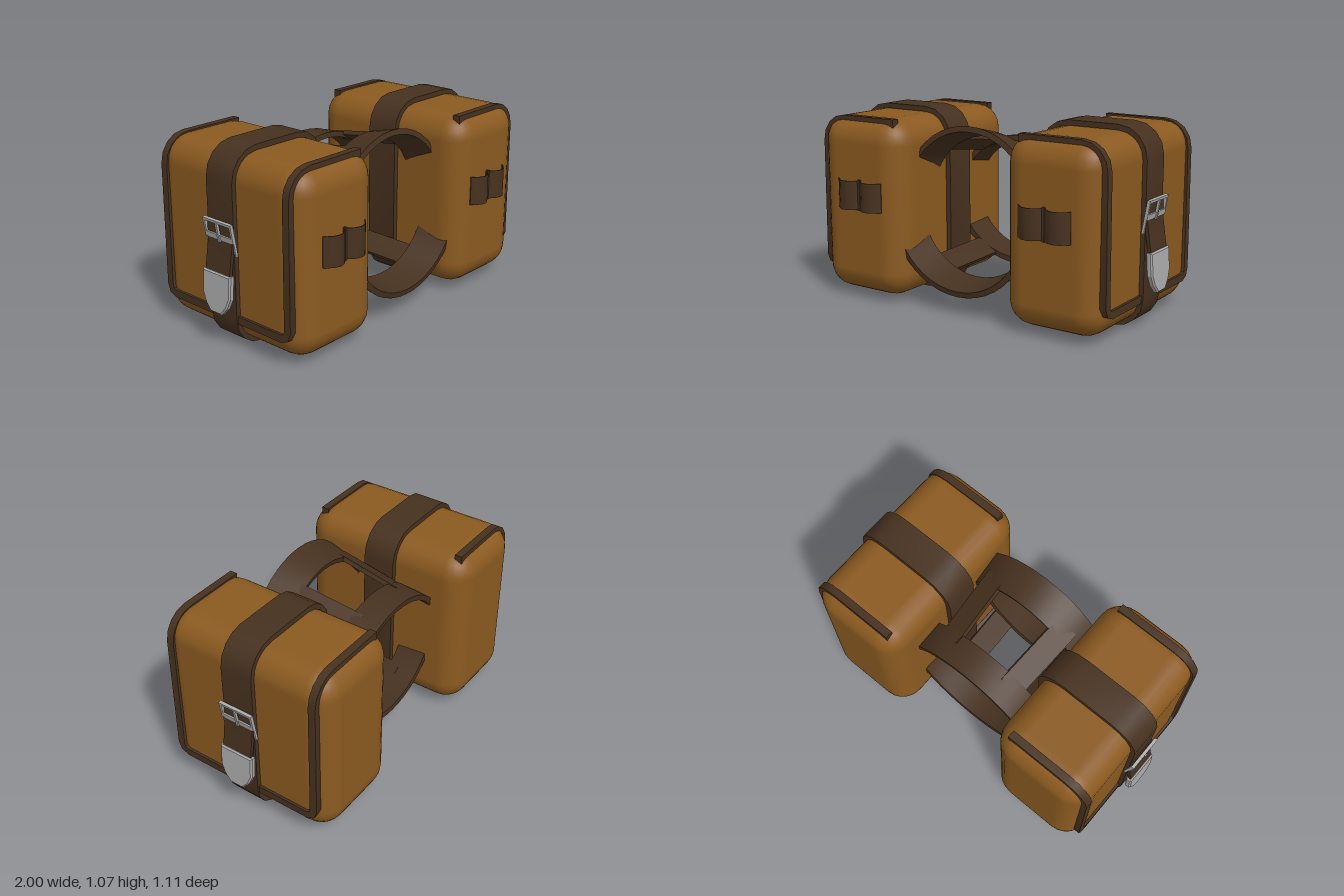
import * as THREE from 'three';
import { toCreasedNormals } from 'three/addons/utils/BufferGeometryUtils.js';
import { RoundedBoxGeometry } from 'three/addons/geometries/RoundedBoxGeometry.js';

const V = (x, y, z) => new THREE.Vector3(x, y, z);
const canvas = new THREE.MeshStandardMaterial({ color: 0x8b5a20 });
const leather = new THREE.MeshStandardMaterial({ color: 0x46311f, side: THREE.DoubleSide });
const metal = new THREE.MeshStandardMaterial({ color: 0xaaaaaa });
const MID = -0.025; // z of the bag centre

function add(parent, name, geometry, material) {
  const mesh = new THREE.Mesh(geometry, material);
  mesh.name = name;
  parent.add(mesh);
  return mesh;
}

// Flat strap swept along a path of { p, n }: point and outward normal.
function ribbon(path, width, thick, closed = false) {
  const pos = [], idx = [], count = path.length;
  path.forEach(({ p, n }, i) => {
    const a = path[closed ? (i + count - 1) % count : Math.max(i - 1, 0)].p;
    const b = path[closed ? (i + 1) % count : Math.min(i + 1, count - 1)].p;
    const normal = n.clone().normalize();
    const side = b.clone().sub(a).cross(normal).normalize();
    for (const [u, v] of [[1, 1], [-1, 1], [-1, -1], [1, -1]]) {
      const q = p.clone().addScaledVector(normal, u * thick / 2).addScaledVector(side, v * width / 2);
      pos.push(q.x, q.y, q.z);
    }
  });
  for (let i = 0; i < (closed ? count : count - 1); i++) {
    const r = i * 4, s = ((i + 1) % count) * 4;
    for (let k = 0; k < 4; k++) {
      const l = (k + 1) % 4;
      idx.push(r + k, r + l, s + l, r + k, s + l, s + k);
    }
  }
  if (!closed) {
    const e = (count - 1) * 4;
    idx.push(0, 2, 1, 0, 3, 2, e, e + 1, e + 2, e, e + 2, e + 3);
  }
  const g = new THREE.BufferGeometry();
  g.setAttribute('position', new THREE.Float32BufferAttribute(pos, 3));
  g.setIndex(idx);
  return toCreasedNormals(g, 0.6);
}

// Quarter-turn in the xy plane, from angle a0 to a1.
function corner(cx, cy, z, r, a0, a1, steps = 4) {
  return Array.from({ length: steps + 1 }, (_, i) => {
    const a = a0 + (a1 - a0) * i / steps, n = V(Math.cos(a), Math.sin(a), 0);
    return { p: V(cx, cy, z).addScaledVector(n, r), n };
  });
}

function shapeFrom(points) {
  return new THREE.Shape(points.map(([x, y]) => new THREE.Vector2(x, y)));
}

function hole(x0, y0, x1, y1) {
  return new THREE.Path([[x0, y0], [x0, y1], [x1, y1], [x1, y0]].map(([x, y]) => new THREE.Vector2(x, y)));
}

// Plate drawn across z and y, thickened outwards along x.
function plate(shape, depth, bevel = 0) {
  return new THREE.ExtrudeGeometry(shape, {
    depth, bevelEnabled: bevel > 0, bevelSize: bevel, bevelThickness: bevel, bevelOffset: -bevel, bevelSegments: 1,
  }).rotateY(Math.PI / 2);
}

function makeBag() {
  const bag = new THREE.Group(), H = Math.PI / 2;
  add(bag, 'bagBody', new RoundedBoxGeometry(0.58, 1.005, 1.055, 3, 0.14), canvas).position.set(0.625, 0.535, MID);

  // Strap wrapped around the bag
  const r = 0.155, x0 = 0.32, x1 = 0.925, y0 = 0.015, y1 = 1.055;
  add(bag, 'wrapStrap', ribbon([
    ...corner(x1 - r, y1 - r, MID, r, H, 0),
    ...corner(x1 - r, y0 + r, MID, r, 0, -H),
    ...corner(x0 + r, y0 + r, MID, r, -H, -2 * H),
    ...corner(x0 + r, y1 - r, MID, r, -2 * H, -3 * H),
  ], 0.19, 0.03, true), leather);

  // Edge tape of the flap: over the top, down the outer face and along the bottom
  const half = [
    { p: V(0.41, 1.018, 0.42), n: V(0, 1, 0) },
    ...corner(0.77, 0.888, 0.42, 0.13, H, 0),
    { p: V(0.905, 0.21, 0.42), n: V(1, 0, 0) },
    { p: V(0.906, 0.18, 0.408), n: V(1, 0, 0) },
    { p: V(0.907, 0.167, 0.375), n: V(1, 0, 0) },
  ];
  const other = half.map(({ p, n }) => ({ p: V(p.x, p.y, 2 * MID - p.z), n })).reverse();
  add(bag, 'flapTape', ribbon([...half, ...other], 0.043, 0.045), leather);

  // Loose strap end with its metal tip
  const out = V(1, 0.1, 0);
  add(bag, 'strapEnd', ribbon([[0.938, 0.67], [0.94, 0.58], [0.957, 0.47], [0.975, 0.36]]
    .map(([x, y]) => ({ p: V(x, y, MID), n: out })), 0.18, 0.018), leather);
  const tip = add(bag, 'strapTip', plate(shapeFrom([
    [-0.04, 0], [0.04, 0], [0.08, 0.045], [0.103, 0.1], [0.103, 0.222], [-0.103, 0.222], [-0.103, 0.1], [-0.08, 0.045],
  ]), 0.02, 0.008), metal);
  tip.position.set(0.972, 0.2, MID);
  tip.rotation.z = 0.07;

  // Buckle: frame, prong and side legs
  const buckle = new THREE.Group();
  buckle.name = 'buckle';
  const frame = shapeFrom([[-0.103, 0], [0.103, 0], [0.103, 0.105], [-0.103, 0.105]]);
  frame.holes.push(hole(-0.09, 0.028, 0.09, 0.09));
  add(buckle, 'buckleFrame', plate(frame, 0.018), metal);
  add(buckle, 'buckleProng', new THREE.BoxGeometry(0.014, 0.105, 0.014), metal).position.set(0.018, 0.042, 0);
  for (const s of [-1, 1]) {
    add(buckle, 'buckleLeg', new THREE.BoxGeometry(0.014, 0.08, 0.008), metal).position.set(0.007, -0.035, s * 0.099);
  }
  buckle.position.set(0.934, 0.595, MID);
  buckle.rotation.z = -0.17;
  bag.add(buckle);

  // Pair of holder loops on the front face
  for (const cx of [0.528, 0.682]) {
    const pts = [[-0.077, 0.505], [-0.06, 0.522], [-0.03, 0.545], [0, 0.552], [0.03, 0.545], [0.06, 0.522], [0.077, 0.505]];
    add(bag, 'holderLoop', ribbon(pts.map(([x, z]) => ({ p: V(cx + x, 0.61, z), n: V(x * 5, 0, 1) })), 0.165, 0.006), leather);
  }
  add(bag, 'holderSeam', new THREE.BoxGeometry(0.014, 0.175, 0.02), leather).position.set(0.605, 0.61, 0.508);
  return bag;
}

// Arched yoke band between the bags; dir is 1 for upper, -1 for lower.
function arch(dir, z, rx, ry, width, tilt) {
  const path = [];
  for (let i = 0; i <= 16; i++) {
    const a = THREE.MathUtils.degToRad(25 + 130 * i / 16);
    const c = Math.cos(a), s = Math.sin(a) * dir;
    path.push({ p: V(c * rx, 0.555 + s * ry, z), n: V(c, s, tilt) });
  }
  return ribbon(path, width, 0.032);
}

export function createModel() {
  const model = new THREE.Group();
  model.name = 'saddlebags';
  for (const s of [1, -1]) {
    const bag = makeBag();
    bag.name = s > 0 ? 'leftBag' : 'rightBag';
    bag.scale.x = s;
    model.add(bag);
  }

  add(model, 'upperFrontArch', arch(1, 0.215, 0.42, 0.43, 0.19, -0.25), leather);
  add(model, 'upperBackArch', arch(1, -0.27, 0.41, 0.335, 0.17, -0.08), leather);
  add(model, 'lowerFrontArch', arch(-1, 0.325, 0.42, 0.415, 0.2, -0.2), leather);
  add(model, 'lowerBackArch', arch(-1, -0.25, 0.42, 0.375, 0.18, -0.05), leather);

  // Straps joining the front and back arches
  for (const s of [1, -1]) {
    const joins = { upperJoin: [1, 0.905, 0.2, 0.84, -0.24], lowerJoin: [-1, 0.21, 0.28, 0.235, -0.22] };
    for (const [name, [dir, ya, za, yb, zb]] of Object.entries(joins)) {
      const n = V(s * 0.5, dir * 0.85, 0);
      add(model, name, ribbon([{ p: V(s * 0.235, ya, za), n }, { p: V(s * 0.21, yb, zb), n }], 0.14, 0.025), leather);
    }
  }
  return model;
}
